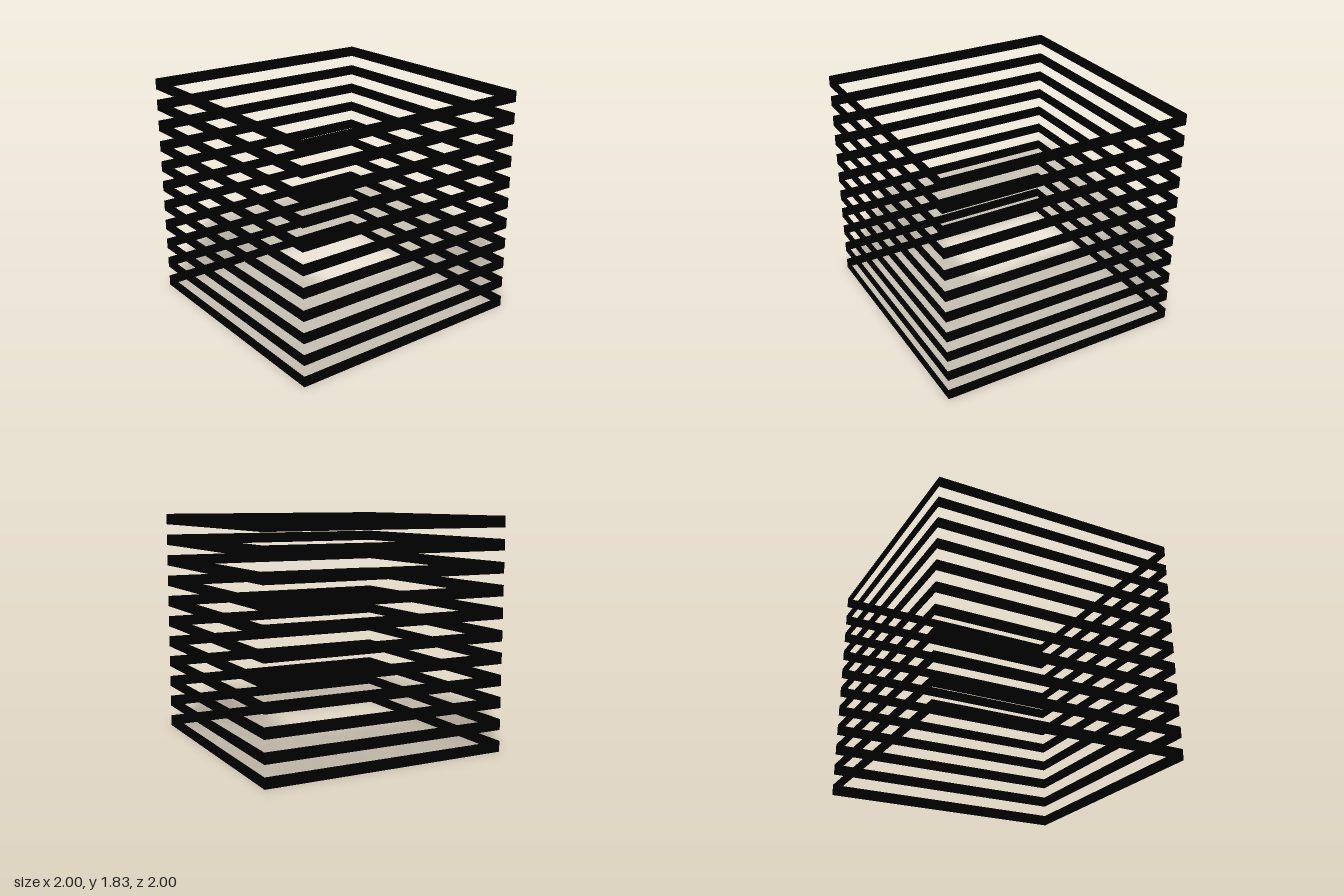
import * as THREE from 'three';

const BANDS = 11;
const BAND_HEIGHT = 1.83 / (2 * BANDS - 1); // bands and gaps are equally tall

export function createModel() {
  const model = new THREE.Group();
  model.name = 'stackedSquareBands';

  const black = new THREE.MeshStandardMaterial({
    color: 0x000000, side: THREE.DoubleSide, flatShading: true,
  });

  // Open four-sided strip, 2 x 2 in plan, without thickness
  const strip = new THREE.CylinderGeometry(
    Math.SQRT2, Math.SQRT2, BAND_HEIGHT, 4, 1, true, Math.PI / 4);

  // Stack of identical bands separated by gaps
  for (let i = 0; i < BANDS; i++) {
    const band = new THREE.Mesh(strip, black);
    band.name = `squareBand${i + 1}`;
    band.position.y = (2 * i + 0.5) * BAND_HEIGHT;
    model.add(band);
  }
  return model;
}
